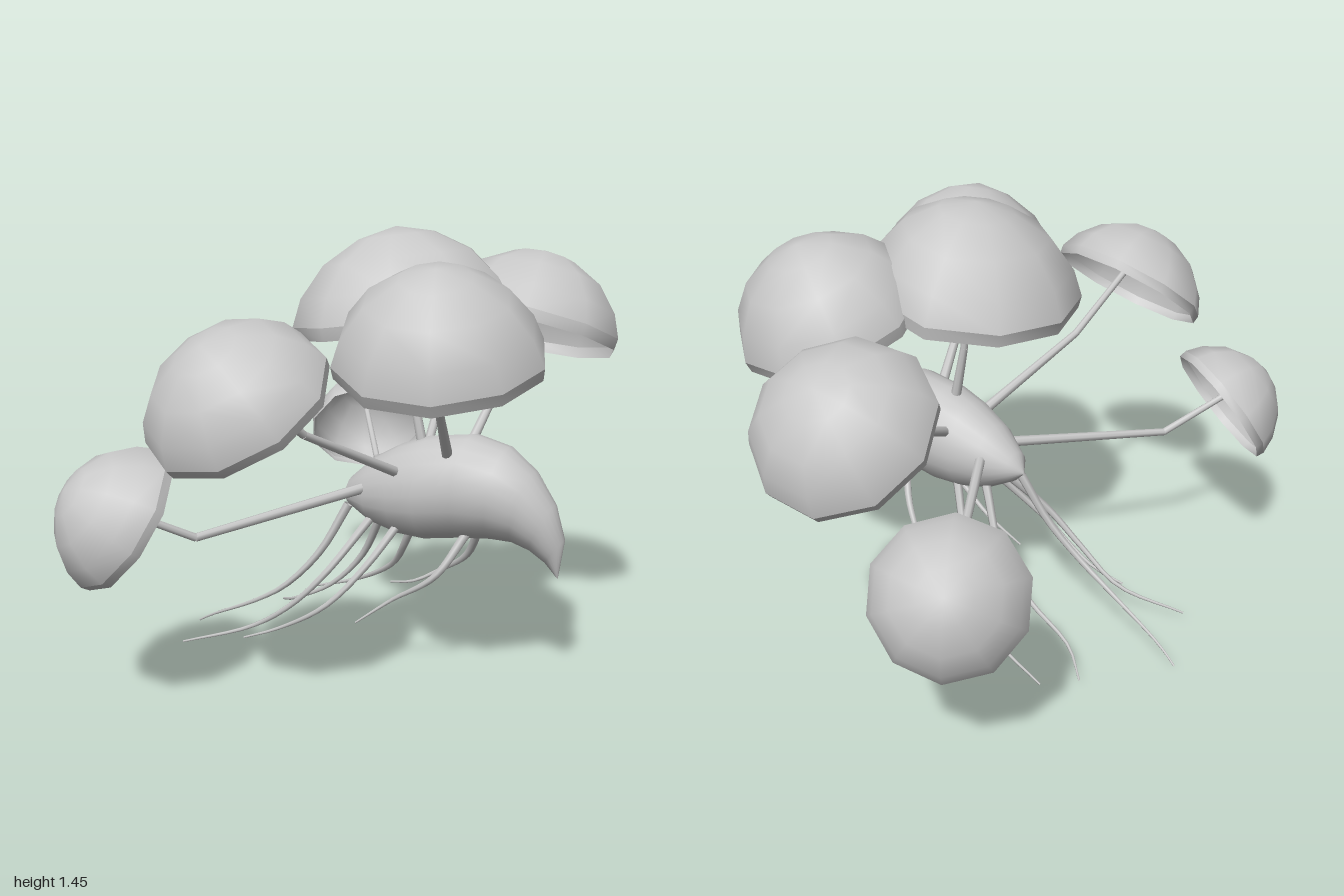
import * as THREE from 'three';
import { mergeVertices } from 'three/addons/utils/BufferGeometryUtils.js';

const V = (p) => new THREE.Vector3(...p);
const grey = new THREE.MeshStandardMaterial({ color: 0xc8c8c8, side: THREE.DoubleSide });
grey.name = 'stone grey';

function add(parent, geometry, name) {
  const mesh = new THREE.Mesh(geometry, grey);
  mesh.name = name;
  parent.add(mesh);
  return mesh;
}

// Curved, beaked body: oval rings given by top point, bottom point and half width
function bodyGeometry() {
  const rings = [
    [-0.12, 0.565, -0.12, 0.555, 0.005],
    [-0.085, 0.625, -0.09, 0.525, 0.055],
    [0.0, 0.70, 0.0, 0.475, 0.105],
    [0.1, 0.755, 0.1, 0.45, 0.135],
    [0.2, 0.79, 0.2, 0.445, 0.15],
    [0.35, 0.81, 0.32, 0.465, 0.152],
    [0.47, 0.78, 0.43, 0.477, 0.14],
    [0.56, 0.71, 0.50, 0.475, 0.11],
    [0.63, 0.61, 0.555, 0.455, 0.075],
    [0.665, 0.50, 0.605, 0.42, 0.04],
    [0.648, 0.373, 0.642, 0.376, 0.002],
  ];
  const n = 20, pos = [], idx = [];
  rings.forEach(([tx, ty, bx, by, w], i) => {
    for (let j = 0; j < n; j++) {
      const a = (j / n) * Math.PI * 2, c = Math.cos(a);
      pos.push((tx + bx) / 2 + (c * (tx - bx)) / 2, (ty + by) / 2 + (c * (ty - by)) / 2, w * Math.sin(a));
      if (i < rings.length - 1) {
        const k = (j + 1) % n, p = i * n, q = p + n;
        idx.push(p + j, p + k, q + j, p + k, q + k, q + j);
      }
    }
  });
  const g = new THREE.BufferGeometry();
  g.setAttribute('position', new THREE.Float32BufferAttribute(pos, 3));
  g.setIndex(idx);
  g.computeVertexNormals();
  return g;
}

// Ten-sided shell of a cap, drawn in to a soft point on its +x side
const domeProfile = [[1, 0.13], [0.9, 0.4], [0.67, 0.7], [0.34, 0.91], [0, 1]];
const lipProfile = [[0.985, 0], [1, 0.13]];
function capGeometry(profile, radius, depth, point) {
  let g = new THREE.LatheGeometry(profile.map(([r, h]) => new THREE.Vector2(r, h)), 10, Math.PI / 2);
  const p = g.attributes.position;
  for (let i = 0; i < p.count; i++) {
    p.setZ(i, p.getZ(i) * (1 - point * Math.max(0, p.getX(i))));
  }
  g.scale(radius, depth, radius);
  g.deleteAttribute('uv');
  g.deleteAttribute('normal');
  g = mergeVertices(g, 1e-4);
  g.computeVertexNormals();
  return g;
}

// Straight rod between two points
function rod(parent, a, b, ra, rb, name) {
  const dir = b.clone().sub(a);
  const mesh = add(parent, new THREE.CylinderGeometry(rb, ra, dir.length(), 8), name);
  mesh.position.copy(a).add(b).multiplyScalar(0.5);
  mesh.quaternion.setFromUnitVectors(new THREE.Vector3(0, 1, 0), dir.normalize());
}

// Tube that thins out to its tip
function rootGeometry(points) {
  const curve = new THREE.CatmullRomCurve3(points.map(V)), seg = 16, sides = 6;
  const g = new THREE.TubeGeometry(curve, seg, 0.016, sides);
  const p = g.attributes.position, v = new THREE.Vector3();
  for (let i = 0; i < p.count; i++) {
    const t = Math.floor(i / (sides + 1)) / seg, c = curve.getPointAt(t);
    v.fromBufferAttribute(p, i).sub(c).multiplyScalar(1 - 0.78 * t).add(c);
    p.setXYZ(i, v.x, v.y, v.z);
  }
  return g;
}

// One cap on its bent stem
function stalk(parent, { centre, axis, radius, depth, point, stem }, name) {
  const group = new THREE.Group();
  group.name = name;
  const cap = new THREE.Group();
  cap.name = 'cap';
  add(cap, capGeometry(domeProfile, radius, depth, point), 'dome');
  add(cap, capGeometry(lipProfile, radius, depth, point), 'lip');
  const y = V(axis).normalize();
  const x = new THREE.Vector3(1, 0, 0).addScaledVector(y, -y.x).normalize();
  cap.quaternion.setFromRotationMatrix(new THREE.Matrix4().makeBasis(x, y, x.clone().cross(y)));
  cap.position.set(...centre);
  group.add(cap);
  const [a, b] = stem.map(V);
  const end = V(centre).addScaledVector(y, depth * 0.94);
  rod(group, a, b, 0.018, 0.013, 'lowerStem');
  rod(group, b, end, 0.013, 0.011, 'upperStem');
  parent.add(group);
}

export function createModel() {
  const model = new THREE.Group();
  model.name = 'cappedCreature';
  add(model, bodyGeometry(), 'body');

  // Central cap
  stalk(model, {
    centre: [0.113, 1.14, 0], axis: [-0.13, 0.99, 0], radius: 0.368, depth: 0.322, point: 0.36,
    stem: [[0.17, 0.76, 0], [0.13, 0.95, 0]],
  }, 'centreStalk');

  // Paired caps, mirrored across the body
  const pairs = {
    frontStalk: {
      centre: [0.388, 1.09, 0.347], axis: [0.1, 0.93, 0.34], radius: 0.317, depth: 0.295, point: 0.14,
      stem: [[0.3, 0.745, 0.085], [0.34, 0.94, 0.25]],
    },
    middleStalk: {
      centre: [-0.04, 0.99, 0.735], axis: [-0.13, 0.8, 0.6], radius: 0.284, depth: 0.235, point: 0.08,
      stem: [[0.13, 0.68, 0.1], [0.02, 0.87, 0.5]],
    },
    rearStalk: {
      centre: [-0.435, 0.613, 0.765], axis: [-0.48, 0.55, 0.68], radius: 0.234, depth: 0.218, point: 0.05,
      stem: [[0.0, 0.61, 0.08], [-0.31, 0.535, 0.6]],
    },
  };
  for (const side of [1, -1]) {
    const half = new THREE.Group();
    half.name = side > 0 ? 'leftStalks' : 'rightStalks';
    half.scale.z = side;
    for (const [name, spec] of Object.entries(pairs)) stalk(half, spec, name);
    model.add(half);
  }

  // Trailing roots
  const roots = [
    [[-0.09, 0.53, 0.03], [-0.18, 0.36, 0.07], [-0.3, 0.23, 0.1], [-0.42, 0.155, 0.1], [-0.64, 0.05, 0.07], [-0.71, 0.01, 0.05]],
    [[0.01, 0.5, 0.06], [-0.1, 0.32, 0.19], [-0.22, 0.2, 0.22], [-0.38, 0.1, 0.22], [-0.6, 0.035, 0.3]],
    [[0.0, 0.5, -0.05], [-0.12, 0.3, -0.12], [-0.25, 0.17, -0.13], [-0.42, 0.08, -0.15], [-0.52, 0.035, -0.23]],
    [[0.12, 0.5, -0.06], [0.05, 0.37, -0.12], [-0.05, 0.25, -0.22], [-0.25, 0.13, -0.32], [-0.45, 0.06, -0.35]],
    [[0.12, 0.5, 0.07], [0.05, 0.37, 0.17], [-0.06, 0.24, 0.24], [-0.25, 0.125, 0.24], [-0.37, 0.08, 0.265]],
    [[0.36, 0.5, 0.06], [0.28, 0.36, 0.13], [0.12, 0.25, 0.12], [0.0, 0.16, 0.15]],
    [[0.36, 0.5, -0.05], [0.28, 0.36, -0.13], [0.15, 0.265, -0.2], [0.05, 0.21, -0.19], [-0.05, 0.185, -0.21]],
  ];
  roots.forEach((pts, i) => add(model, rootGeometry(pts), 'root' + (i + 1)));
  return model;
}
